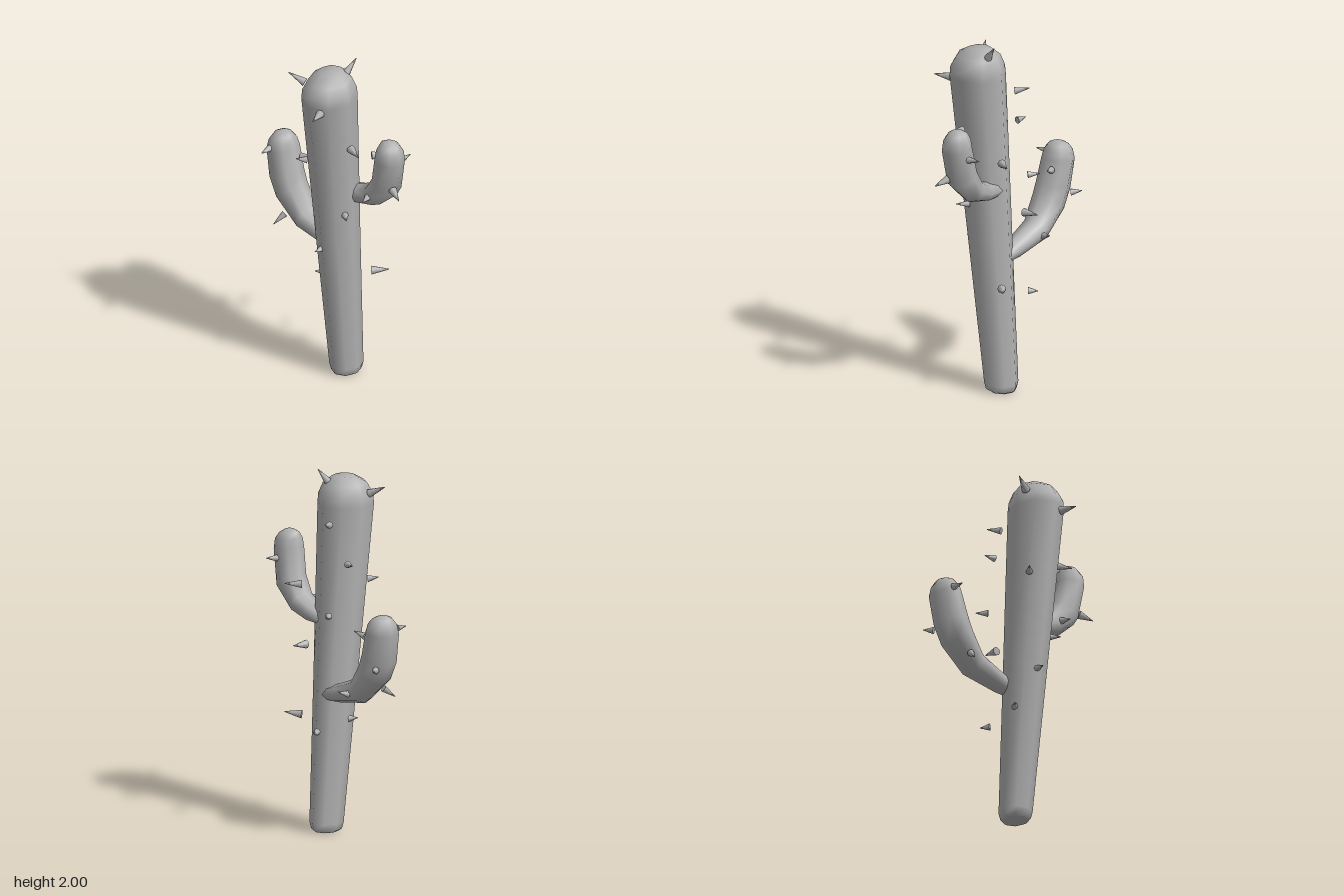
import * as THREE from 'three';

const SIDES = 8;

// Skin through rings [x, y, z, radius across, radius in z, tilt in degrees]; both ends closed.
function loft(rings) {
  const pos = [], idx = [];
  for (const [x, y, z, r, rz, tilt] of rings) {
    const a = THREE.MathUtils.degToRad(tilt);
    for (let j = 0; j < SIDES; j++) {
      const t = (j / SIDES) * Math.PI * 2;
      const u = r * Math.cos(t);
      pos.push(x + u * Math.cos(a), y + u * Math.sin(a), z - rz * Math.sin(t));
    }
  }
  const n = rings.length;
  for (let i = 0; i < n - 1; i++) {
    for (let j = 0; j < SIDES; j++) {
      const k = (j + 1) % SIDES;
      const a = i * SIDES + j, b = i * SIDES + k;
      idx.push(a, b, b + SIDES, a, b + SIDES, a + SIDES);
    }
  }
  const start = n * SIDES, end = start + 1, last = (n - 1) * SIDES;
  pos.push(...rings[0].slice(0, 3), ...rings[n - 1].slice(0, 3));
  for (let j = 0; j < SIDES; j++) {
    const k = (j + 1) % SIDES;
    idx.push(start, k, j, end, last + j, last + k);
  }
  const geo = new THREE.BufferGeometry();
  geo.setAttribute('position', new THREE.Float32BufferAttribute(pos, 3));
  geo.setIndex(idx);
  geo.computeVertexNormals();
  return geo;
}

// Cone with its base centre and tip at the given points.
function spine(base, tip, material) {
  const from = new THREE.Vector3(...base), to = new THREE.Vector3(...tip);
  const dir = to.clone().sub(from);
  const length = dir.length();
  const geo = new THREE.CylinderGeometry(0.002, 0.1 + length * 1.2 > 0.2 ? 0.024 : 0.02, length, 8);
  const mesh = new THREE.Mesh(geo, material);
  mesh.position.copy(from).add(to).multiplyScalar(0.5);
  mesh.quaternion.setFromUnitVectors(new THREE.Vector3(0, 1, 0), dir.normalize());
  return mesh;
}

export function createModel() {
  const grey = new THREE.MeshStandardMaterial({ color: 0xb0b0b0 });
  grey.name = 'cactus grey';
  const model = new THREE.Group();
  model.name = 'cactus';
  const add = (name, geo) => {
    const mesh = new THREE.Mesh(geo, grey);
    mesh.name = name;
    model.add(mesh);
  };

  // Leaning trunk, widening towards a rounded crown
  add('trunk', loft([
    [0.046, 0, -0.067, 0.06, 0.07, 0],
    [0.046, 0.012, -0.067, 0.078, 0.088, 0],
    [0.046, 0.05, -0.067, 0.087, 0.098, 0],
    [0.052, 0.9, 0.005, 0.114, 0.128, 0],
    [0.06, 1.8, 0.08, 0.144, 0.161, 0],
    [0.061, 1.855, 0.08, 0.14, 0.156, 0],
    [0.06, 1.915, 0.075, 0.113, 0.125, 0],
    [0.058, 1.955, 0.065, 0.06, 0.065, 0],
  ]));

  // Bent arms, each ending in a rounded tip
  add('rightArm', loft([
    [0.04, 0.765, -0.07, 0.035, 0.045, 80],
    [-0.06, 0.785, -0.07, 0.05, 0.06, 78],
    [-0.255, 0.84, -0.075, 0.072, 0.08, 62],
    [-0.37, 0.965, -0.077, 0.094, 0.095, 38],
    [-0.41, 1.05, -0.08, 0.097, 0.096, 18],
    [-0.445, 1.2, -0.088, 0.085, 0.096, 6],
    [-0.447, 1.25, -0.088, 0.073, 0.083, 4],
    [-0.448, 1.28, -0.088, 0.052, 0.058, 2],
    [-0.448, 1.293, -0.088, 0.025, 0.03, 0],
  ]));
  add('leftArm', loft([
    [0.07, 1.17, -0.045, 0.04, 0.055, -80],
    [0.18, 1.187, -0.045, 0.053, 0.068, -78],
    [0.28, 1.225, -0.045, 0.066, 0.076, -58],
    [0.37, 1.33, -0.042, 0.087, 0.084, -30],
    [0.403, 1.5, -0.032, 0.08, 0.085, -8],
    [0.404, 1.555, -0.032, 0.073, 0.077, -4],
    [0.4, 1.588, -0.032, 0.055, 0.055, -3],
    [0.398, 1.605, -0.032, 0.028, 0.028, 0],
  ]));

  // Spines as [base, tip]
  const spines = new THREE.Group();
  spines.name = 'spines';
  const points = [
    // crown and trunk
    [[0.095, 1.92, -0.01], [0.116, 2.0, -0.07]],
    [[-0.065, 1.865, 0.14], [-0.15, 1.91, 0.18]],
    [[0.12, 1.775, 0.215], [0.15, 1.78, 0.305]],
    [[-0.115, 1.51, -0.055], [-0.175, 1.515, -0.07]],
    [[0.21, 1.525, 0.07], [0.3, 1.525, 0.105]],
    [[-0.045, 1.385, 0.145], [-0.085, 1.395, 0.19]],
    [[-0.075, 1.23, -0.155], [-0.12, 1.235, -0.205]],
    [[0.155, 1.365, -0.15], [0.21, 1.37, -0.225]],
    [[0.16, 1.085, 0.065], [0.215, 1.09, 0.11]],
    [[0.155, 0.64, -0.15], [0.228, 0.65, -0.21]],
    [[-0.035, 0.625, 0.02], [-0.07, 0.63, 0.055]],
    [[0.038, 0.845, 0.11], [0.035, 0.845, 0.168]],
    [[-0.025, 1.72, -0.105], [-0.065, 1.74, -0.175]],
    [[0.042, 1.063, -0.215], [0.042, 1.068, -0.305]],
    [[-0.025, 0.583, -0.195], [-0.055, 0.583, -0.24]],
    // right arm
    [[-0.34, 1.165, -0.12], [-0.272, 1.185, -0.14]],
    [[-0.465, 1.215, -0.002], [-0.46, 1.215, 0.066]],
    [[-0.345, 0.855, 0.005], [-0.37, 0.805, 0.066]],
    [[-0.23, 0.825, -0.145], [-0.21, 0.845, -0.205]],
    [[-0.47, 1.005, -0.155], [-0.502, 1.015, -0.205]],
    // left arm
    [[0.405, 1.455, -0.11], [0.41, 1.465, -0.187]],
    [[0.45, 1.335, -0.005], [0.525, 1.31, 0.025]],
    [[0.295, 1.24, 0.025], [0.31, 1.235, 0.083]],
  ];
  points.forEach(([base, tip], i) => {
    const mesh = spine(base, tip, grey);
    mesh.name = `spine${i + 1}`;
    spines.add(mesh);
  });
  model.add(spines);
  return model;
}
